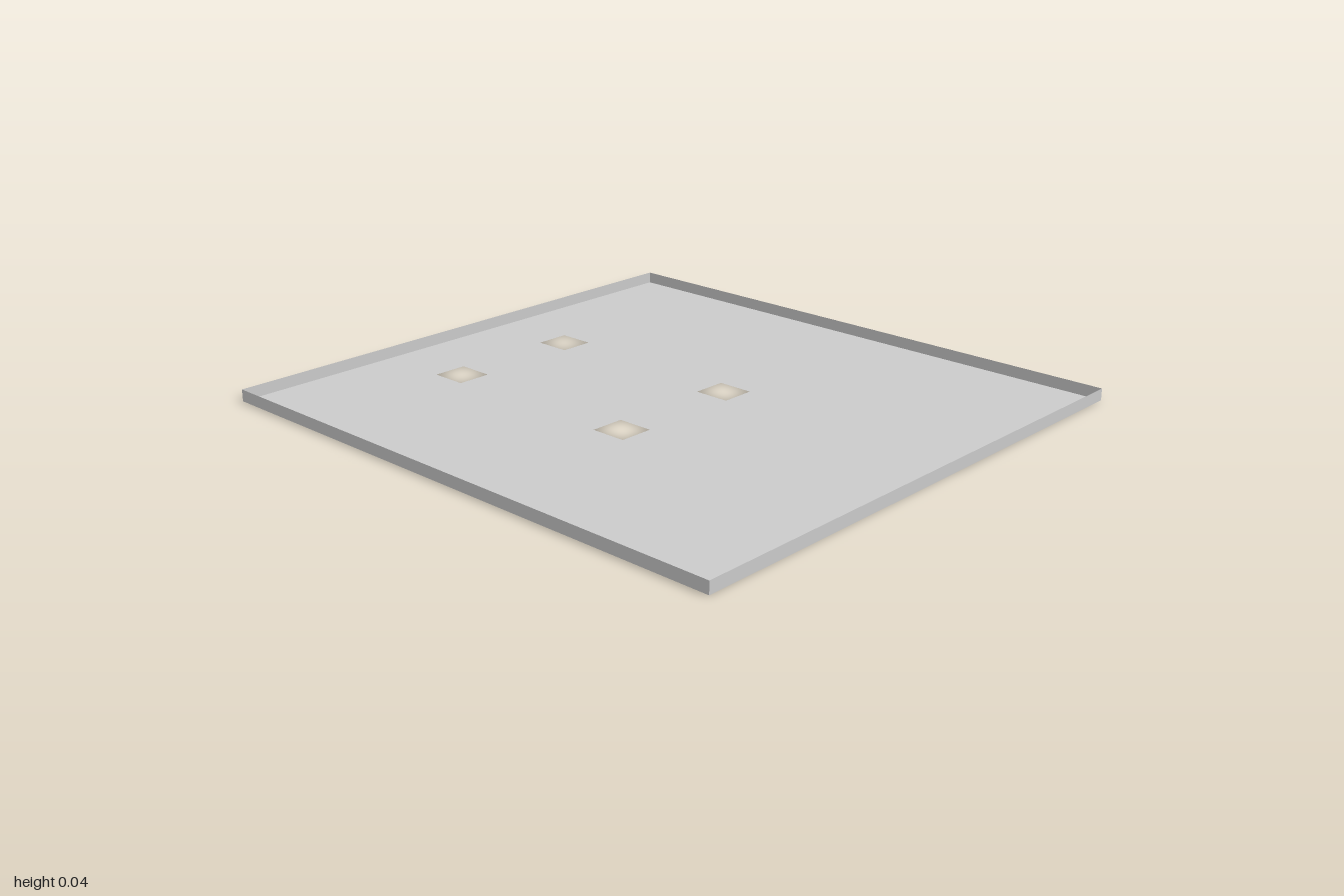
import * as THREE from 'three';

const COUNT = 16, WIDTH = 1.88, DEPTH = 2, HEIGHT = 0.04;
const TILE_X = WIDTH / COUNT, TILE_Z = DEPTH / COUNT;
// Open cells, as column and row counted from the back right corner
const OPENINGS = [[5, 2], [9, 2], [5, 8], [9, 8]];

export function createModel() {
  const model = new THREE.Group();
  model.name = 'tiledTray';
  const material = new THREE.MeshStandardMaterial({
    color: 0xcccccc, flatShading: true, side: THREE.DoubleSide,
  });

  // Floor of thin square tiles, with four left out
  const floor = new THREE.Group();
  floor.name = 'floor';
  const tile = new THREE.PlaneGeometry(TILE_X, TILE_Z).rotateX(-Math.PI / 2);
  for (let row = 0; row < COUNT; row++) {
    for (let col = 0; col < COUNT; col++) {
      if (OPENINGS.some(([c, r]) => c === col && r === row)) continue;
      const mesh = new THREE.Mesh(tile, material);
      mesh.name = 'floorTile';
      mesh.position.set((col + 0.5) * TILE_X - WIDTH / 2, 0, (row + 0.5) * TILE_Z - DEPTH / 2);
      floor.add(mesh);
    }
  }
  model.add(floor);

  // Thin low walls around the edge, facing outwards
  function addWall(name, length, x, z, turn) {
    const wall = new THREE.Mesh(new THREE.PlaneGeometry(length, HEIGHT), material);
    wall.name = name;
    wall.position.set(x, HEIGHT / 2, z);
    wall.rotation.y = turn;
    model.add(wall);
  }
  addWall('frontWall', WIDTH, 0, DEPTH / 2, 0);
  addWall('backWall', WIDTH, 0, -DEPTH / 2, Math.PI);
  addWall('leftWall', DEPTH, WIDTH / 2, 0, Math.PI / 2);
  addWall('rightWall', DEPTH, -WIDTH / 2, 0, -Math.PI / 2);

  return model;
}
